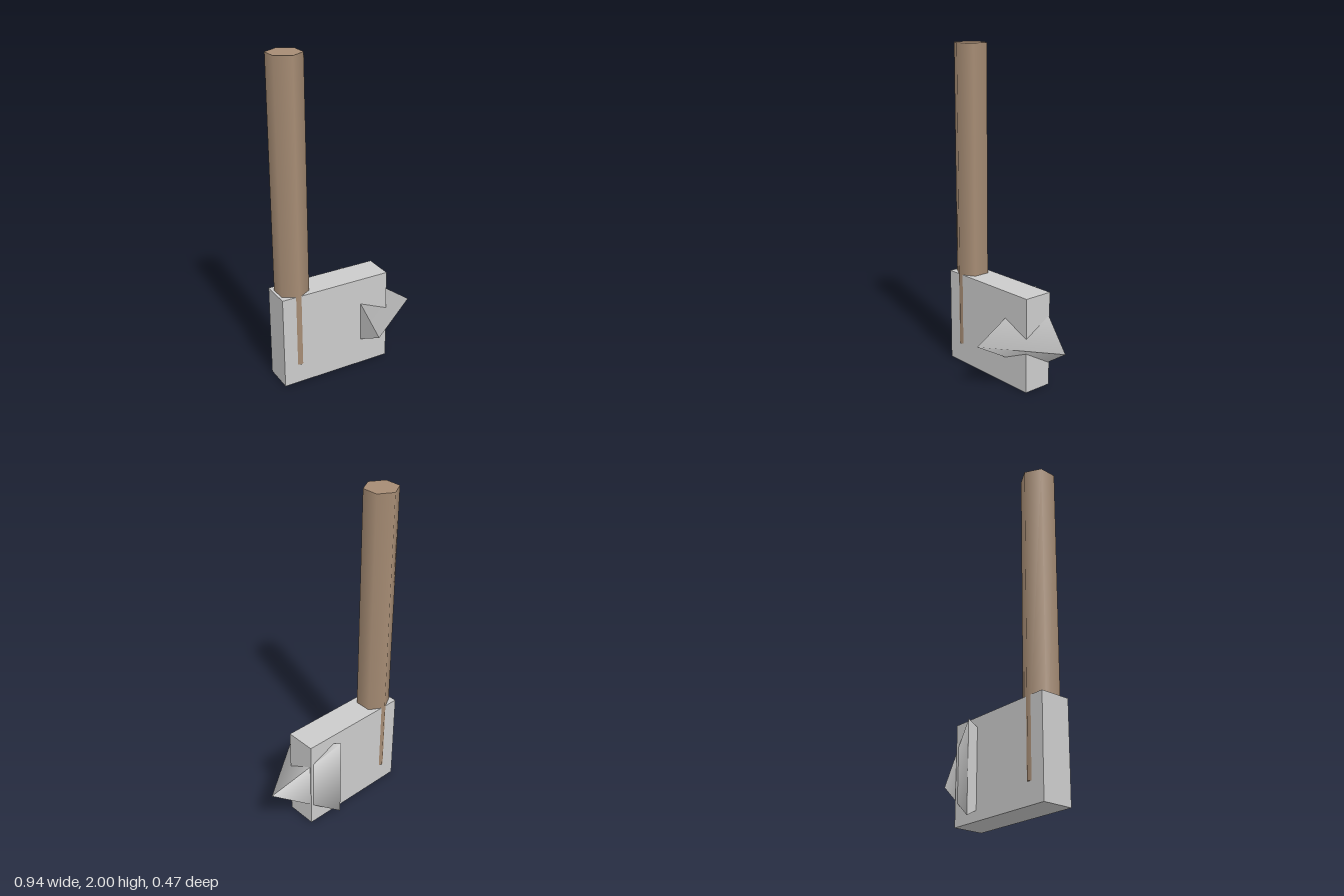
import * as THREE from 'three';

const CENTRE_Z = -0.08; // shared mid-plane of handle, head and spike

function addPart(group, name, geometry, color, x, y) {
  const mesh = new THREE.Mesh(geometry, new THREE.MeshStandardMaterial({ color }));
  mesh.name = name;
  mesh.position.set(x, y, CENTRE_Z);
  group.add(mesh);
}

export function createModel() {
  const group = new THREE.Group();
  group.name = 'hammer';

  // Six-sided wooden handle, sunk into the head with two corners showing through
  addPart(group, 'handle', new THREE.CylinderGeometry(0.103, 0.103, 1.875, 6), 0xa68c74, -0.365, 1.0625);

  // Rectangular block head
  addPart(group, 'head', new THREE.BoxGeometry(0.707, 0.585, 0.186), 0xcccccc, -0.1165, 0.2925);

  // Three-sided spike lying on its side, point towards +x
  const spike = new THREE.ConeGeometry(0.31, 0.412, 3).rotateZ(-Math.PI / 2);
  addPart(group, 'spike', spike, 0xcccccc, 0.259, 0.2925);

  return group;
}
